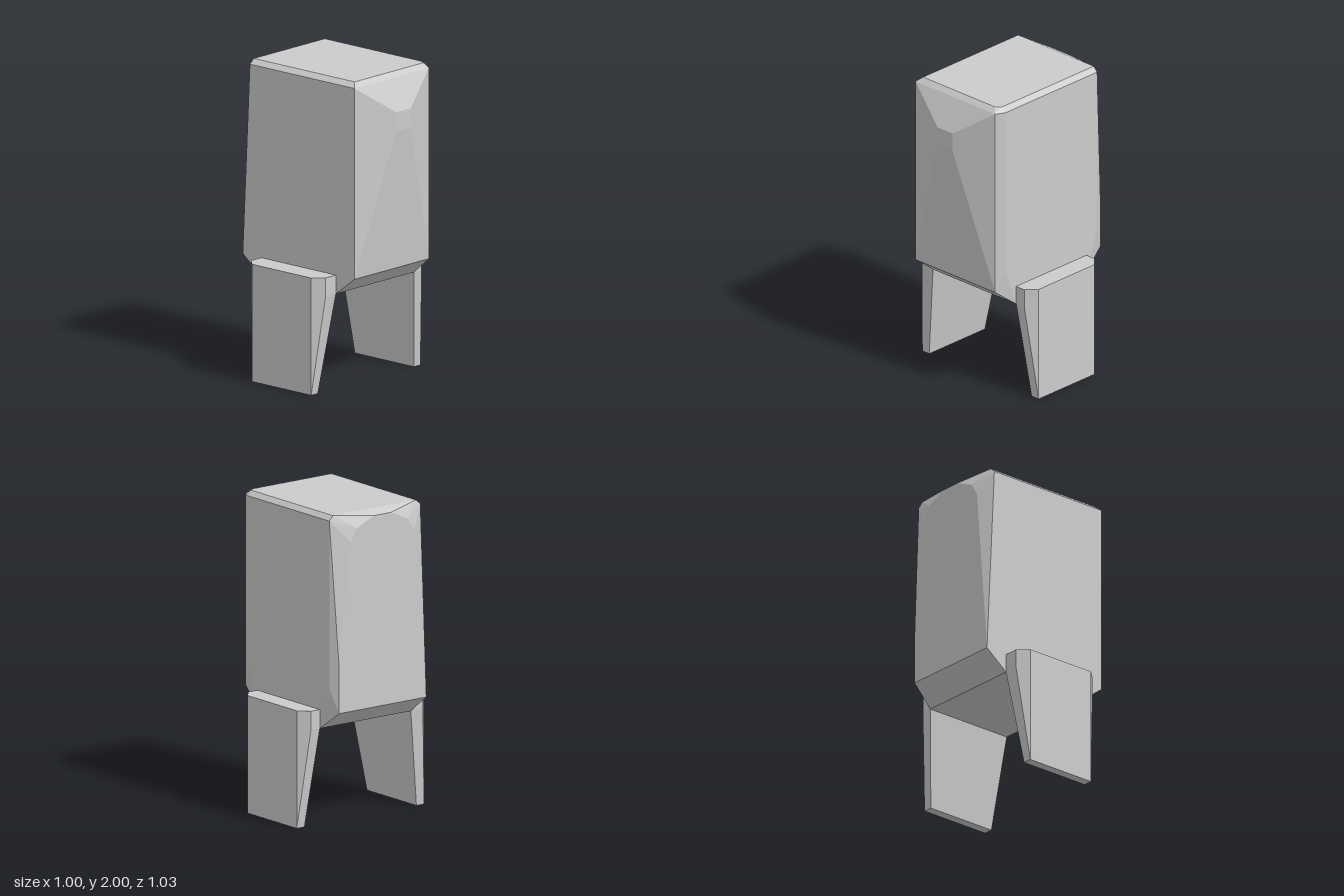
import * as THREE from 'three';
import { ConvexGeometry } from 'three/addons/geometries/ConvexGeometry.js';

const material = new THREE.MeshStandardMaterial({ color: 0xcccccc, flatShading: true });

// Faceted solid spanned by a few corner points
function facetedSolid(name, corners) {
  const points = corners.map((c) => new THREE.Vector3(...c));
  const mesh = new THREE.Mesh(new ConvexGeometry(points), material);
  mesh.name = name;
  return mesh;
}

// Each corner repeated at +x and -x
const pair = (x, y, z) => [[x, y, z], [-x, y, z]];

function createBody() {
  return facetedSolid('body', [
    // top panel
    [-0.31, 2, -0.455], [0.34, 2, -0.455], [0.34, 2, 0.36], [0.31, 2, 0.39], [-0.31, 2, 0.39],
    // bevelled left side
    [0.37, 1.97, 0.36], [0.37, 0.9, 0.36], [0.37, 0.63, 0.265],
    [0.37, 0.63, -0.36], [0.37, 0.9, -0.455], [0.37, 1.97, -0.455],
    // flat right side
    [-0.345, 1.97, 0.42], [-0.345, 0.75, 0.42], [-0.345, 0.63, 0.265],
    [-0.345, 0.63, -0.36], [-0.345, 0.75, -0.515], [-0.345, 1.97, -0.455],
    // front left edge and pointed front
    [0.34, 1.97, 0.42], [0.34, 0.75, 0.42],
    ...pair(0.065, 1.78, 0.515), ...pair(0.065, 1.66, 0.515),
    // back panel with clipped upper corners
    [0.34, 0.75, -0.515], [0.34, 1.05, -0.515],
    ...pair(0.25, 1.83, -0.515), ...pair(0.2, 1.91, -0.515), ...pair(0.065, 1.97, -0.515),
  ]);
}

// Tapered slab leg; side is +1 or -1, inner is where it meets the body
function createLeg(name, side, inner) {
  const corners = [];
  for (const [zOuter, zWide] of [[0.2, 0.265], [-0.295, -0.36]]) {
    corners.push(
      [0.5, 0, zOuter], [0.44, 0, zOuter], [0.5, 0.75, zOuter],
      [0.44, 0.75, zWide], [0.44, 0.63, zWide],
      [inner, 0.75, zWide], [inner, 0.63, zWide],
    );
  }
  return facetedSolid(name, corners.map(([x, y, z]) => [side * x, y, z]));
}

export function createModel() {
  const model = new THREE.Group();
  model.name = 'facetedBodyOnLegs';
  model.add(createBody(), createLeg('leftLeg', 1, 0.37), createLeg('rightLeg', -1, 0.345));
  return model;
}
